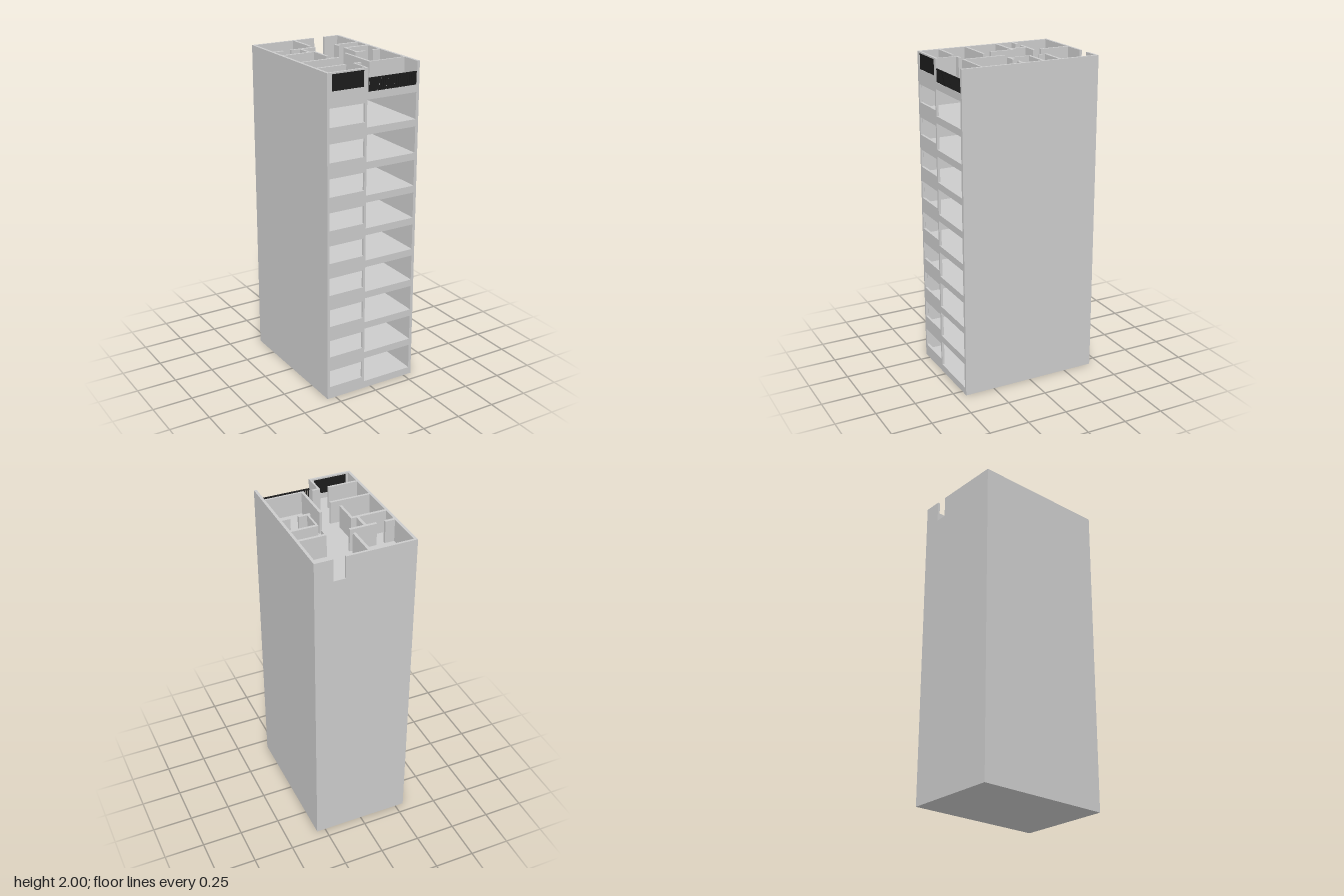
import * as THREE from 'three';

const W = 0.305, D = 0.438, SIDE = 0.017, WALL = 0.015;
const FLOORS = 9, PITCH = 0.202, SLAB = 0.0455, TOP = 2;
const DECK = FLOORS * PITCH + SLAB; // floor level of the open top storey

const grey = new THREE.MeshStandardMaterial({ color: 0xcccccc });
const dark = new THREE.MeshStandardMaterial({ color: 0x1c1c1c });

// Box given by its limits on each axis
function block(parent, name, x0, x1, y0, y1, z0, z1, material = grey) {
  const mesh = new THREE.Mesh(new THREE.BoxGeometry(x1 - x0, y1 - y0, z1 - z0), material);
  mesh.position.set((x0 + x1) / 2, (y0 + y1) / 2, (z0 + z1) / 2);
  mesh.name = name;
  parent.add(mesh);
  return mesh;
}

function rectangle(Type, x0, x1, y0, y1) {
  const r = new Type();
  r.moveTo(x0, y0);
  r.lineTo(x1, y0);
  r.lineTo(x1, y1);
  r.lineTo(x0, y1);
  r.closePath();
  return r;
}

// Wall facing +z with rectangular openings
function piercedWall(parent, name, outline, holes) {
  const shape = rectangle(THREE.Shape, ...outline);
  for (const h of holes) shape.holes.push(rectangle(THREE.Path, ...h));
  const mesh = new THREE.Mesh(
    new THREE.ExtrudeGeometry(shape, { depth: WALL, bevelEnabled: false }), grey);
  mesh.position.z = D - WALL;
  mesh.name = name;
  parent.add(mesh);
}

// Nine hollow storeys behind one facade
function buildTower() {
  const tower = new THREE.Group();
  tower.name = 'tower';
  const holes = [];
  for (let i = 0; i <= FLOORS; i++) {
    const y = i * PITCH;
    block(tower, 'floorSlab', -W + SIDE, W - SIDE, y, y + SLAB, -D + WALL, D - WALL);
    if (i < FLOORS) {
      holes.push([-0.29, -0.06, y + 0.078, y + 0.187]);
      holes.push([-0.046, 0.286, y + SLAB, y + 0.2045]);
    }
  }
  piercedWall(tower, 'facade', [-W, W, 0, DECK], holes);
  for (const s of [-1, 1]) {
    const a = s * W, b = s * (W - SIDE);
    block(tower, 'sideWall', Math.min(a, b), Math.max(a, b), 0, DECK, -D, D - WALL);
  }
  block(tower, 'backWall', -W + SIDE, W - SIDE, 0, DECK, -D, -D + WALL);
  return tower;
}

// Roofless storey showing the room layout
function buildTopStorey() {
  const storey = new THREE.Group();
  storey.name = 'topStorey';

  // Outer walls: x0, x1, z0, z1
  const outer = [
    [-W, -W + SIDE, -D, D - WALL], [W - SIDE, W, -D, D],
    [-W + SIDE, 0.12, -D, -D + WALL], [0.193, W - SIDE, -D, -D + WALL],
  ];
  // Partitions: x0, x1, z0, z1
  const partitions = [
    [-0.03, -0.013, -0.423, -0.235],
    [-0.288, -0.23, -0.198, -0.18], [-0.178, -0.013, -0.198, -0.18],
    [0.125, 0.288, -0.198, -0.18], [0.125, 0.132, -0.18, -0.137],
    [-0.121, -0.104, -0.18, -0.088], [-0.288, -0.072, -0.088, -0.07],
    [-0.087, -0.072, -0.07, 0.07], [-0.288, -0.04, 0.123, 0.138],
    [-0.288, -0.104, 0.295, 0.31], [-0.052, -0.004, 0.295, 0.31],
    [-0.052, -0.04, 0.31, D - WALL],
    [0.125, 0.288, -0.088, -0.07], [0.125, 0.137, -0.07, 0.044],
    [0.116, 0.187, 0.044, 0.062], [0.237, 0.288, 0.044, 0.062],
    [0.047, 0.063, 0.044, 0.313], [0.063, 0.288, 0.301, 0.313],
  ];
  for (const [x0, x1, z0, z1] of outer) block(storey, 'outerWall', x0, x1, DECK, TOP, z0, z1);
  for (const [x0, x1, z0, z1] of partitions) block(storey, 'partition', x0, x1, DECK, TOP, z0, z1);

  // Front wall with a dark window
  const win = [-0.275, -0.067, 1.896, 1.991];
  piercedWall(storey, 'frontWall', [-W, -0.04, DECK, TOP], [win]);
  block(storey, 'window', ...win, D - 0.012, D - 0.002, dark);

  // Balcony sill and railing
  block(storey, 'balconySill', -0.04, W - SIDE, DECK - 0.002, DECK, D - WALL, D);
  const railing = new THREE.Group();
  railing.name = 'railing';
  const x0 = -0.04, x1 = W - SIDE, z0 = D - 0.011, z1 = D - 0.001, bars = 26;
  block(railing, 'topRail', x0, x1, 1.934, 1.941, z0, z1, dark);
  for (let i = 0; i < bars; i++) {
    const x = x0 + (i + 0.5) * (x1 - x0) / bars;
    block(railing, 'baluster', x - 0.0035, x + 0.0035, DECK, 1.934, z0 + 0.001, z1 - 0.001, dark);
  }
  storey.add(railing);
  return storey;
}

export function createModel() {
  const model = new THREE.Group();
  model.name = 'apartmentBlock';
  model.add(buildTower(), buildTopStorey());
  return model;
}
